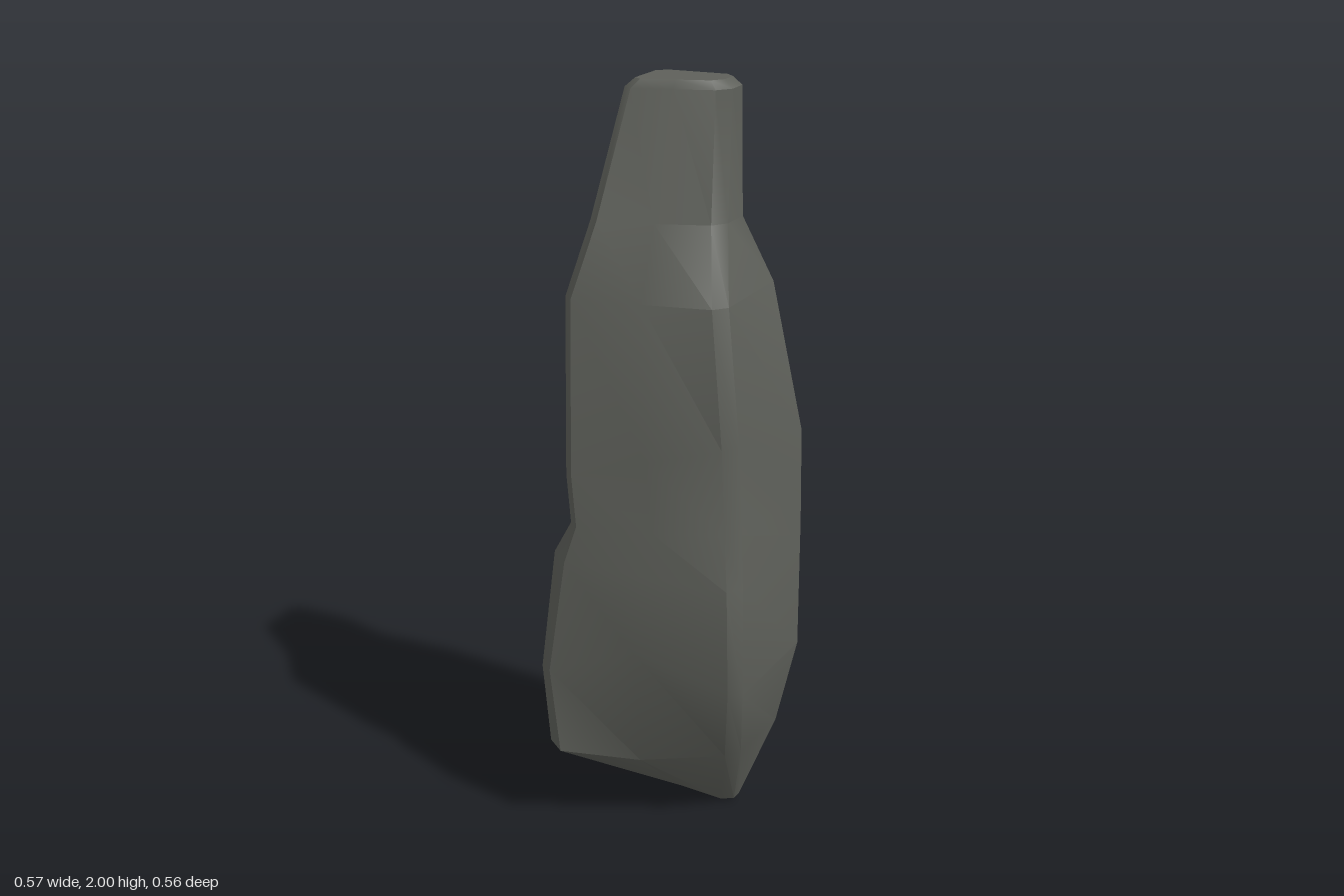
import * as THREE from 'three';
import { toCreasedNormals } from 'three/addons/utils/BufferGeometryUtils.js';

// Corner edges of the stone, each listed from top to bottom.
const frontLeft = [
  [-.09, 1.98, .12], [-.16, 1.67, .17], [-.19, 1.5, .25], [-.19, 1.05, .27], [-.18, .92, .27],
  [-.24, .82, .275], [-.285, .48, .28], [-.265, .26, .285], [-.15, .04, -.03]];
const frontRight = [
  [.15, 1.98, .05], [.15, 1.67, .07], [.2, 1.5, .18], [.22, 1.15, .16], [.235, .92, .17],
  [.25, .78, .19], [.265, .5, .215], [.21, .25, .09], [.14, 0, -.05]];
const backRight = [
  [.15, 1.98, -.065], [.155, 1.67, -.07], [.215, 1.5, -.13], [.285, 1.1, -.18], [.285, .92, -.19],
  [.285, .8, -.19], [.285, .48, -.19], [.25, .26, -.14], [.165, .03, -.08]];
const backLeft = [
  [-.09, 1.98, -.065], [-.16, 1.67, -.07], [-.185, 1.5, -.13], [-.185, 1.05, -.18], [-.18, .92, -.2],
  [-.24, .82, -.21], [-.285, .48, -.21], [-.255, .26, -.19], [-.15, .04, -.1]];
// How far the middles of the front and back faces rise from flat.
const frontLift = [0, 0, 0, 0, 0, 0, .1, -.03, 0];
const frontBulge = [0, 0, 0, 0, 0, 0, .005, -.01, 0];
const backBulge = [0, 0, 0, -.01, -.02, -.035, -.08, -.06, -.02];

const vec = (p) => new THREE.Vector3(...p);

// One cross-section: four chamfered corners plus a middle point on front and back.
function ringAt(i) {
  const [a, b, c, d] = [frontLeft, frontRight, backRight, backLeft].map((edge) => vec(edge[i]));
  const front = a.clone().lerp(b, .5).add(new THREE.Vector3(0, frontLift[i], frontBulge[i]));
  const back = c.clone().lerp(d, .5).add(new THREE.Vector3(0, 0, backBulge[i]));
  const toward = (p, q, size) => p.clone().add(q.clone().sub(p).setLength(Math.min(size, p.distanceTo(q) * .3)));
  const chamfer = (p, prev, next, size) => [toward(p, prev, size), toward(p, next, size)];
  return [
    ...chamfer(a, d, front, i > 4 ? .05 : .025), front, ...chamfer(b, front, c, .028),
    ...chamfer(c, b, back, .028), back, ...chamfer(d, back, a, .028)];
}

const centreOf = (ring) => ring.reduce((s, p) => s.add(p), new THREE.Vector3()).divideScalar(ring.length);

export function createModel() {
  const rings = frontLeft.map((_, i) => ringAt(i));
  // Bevelled flat top
  const topCentre = centreOf(rings[0]);
  rings.unshift(rings[0].map((p) => p.clone().lerp(topCentre, .17).setY(2)));

  const points = [];
  const tri = (...corners) => corners.forEach((p) => points.push(p.x, p.y, p.z));
  const n = rings[0].length;
  const last = rings[rings.length - 1];
  const capTop = centreOf(rings[0]), capBottom = centreOf(last);
  for (let j = 0; j < n; j++) {
    const k = (j + 1) % n;
    for (let i = 0; i < rings.length - 1; i++) {
      const up = rings[i], low = rings[i + 1];
      tri(up[j], low[j], low[k]);
      tri(up[j], low[k], up[k]);
    }
    tri(capTop, rings[0][j], rings[0][k]);
    tri(capBottom, last[k], last[j]);
  }

  const geometry = new THREE.BufferGeometry();
  geometry.setAttribute('position', new THREE.Float32BufferAttribute(points, 3));
  const stone = new THREE.Mesh(
    toCreasedNormals(geometry, .62),
    new THREE.MeshStandardMaterial({ color: 0x5e605a }));
  stone.name = 'standingStone';

  const group = new THREE.Group();
  group.name = 'rock';
  group.add(stone);
  return group;
}
